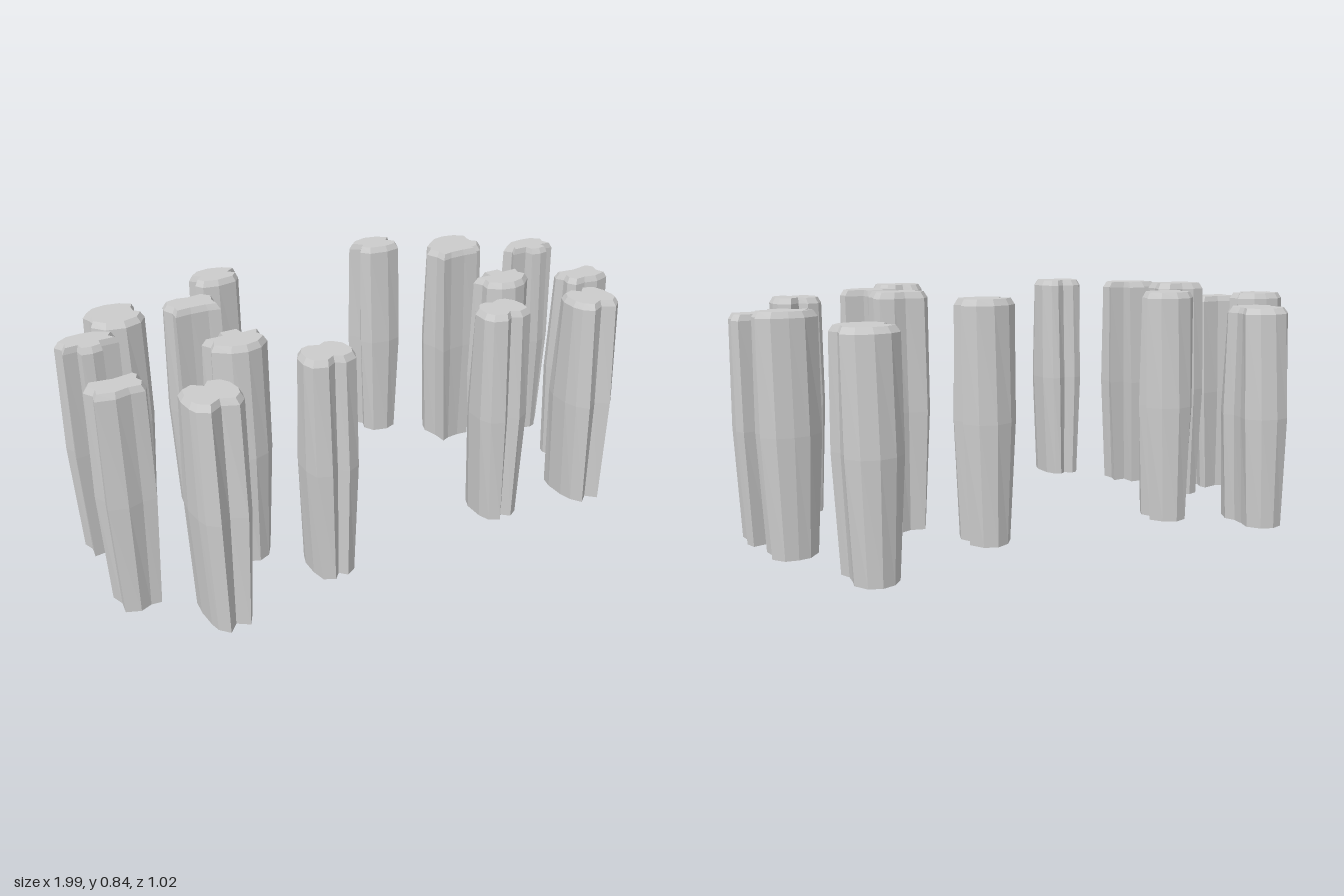
import * as THREE from 'three';

// Rings from bottom to top: height above the base, scale in x, scale in z
const RINGS = [
  [0, 0.77, 1],
  [0.385, 1, 1],
  [0.745, 1, 0.78],
  [0.765, 0.87, 0.66],
];

// Fluted column: the outline (x, z in hundredths) is lofted through the rings
function columnGeometry(outline, base, side) {
  const points = [];
  for (let i = 0; i < outline.length; i += 2) {
    points.push(new THREE.Vector2(side * outline[i] / 100, -outline[i + 1] / 100));
  }
  const centre = new THREE.Box2().setFromPoints(points).getCenter(new THREE.Vector2());
  const geometry = new THREE.ExtrudeGeometry(new THREE.Shape(points), {
    depth: 3, steps: 3, bevelEnabled: false,
  });
  const pos = geometry.attributes.position;
  for (let i = 0; i < pos.count; i++) {
    const [height, sx, sz] = RINGS[Math.round(pos.getZ(i))];
    pos.setXYZ(i,
      centre.x + (pos.getX(i) - centre.x) * sx,
      centre.y + (pos.getY(i) - centre.y) * sz,
      base + height);
  }
  geometry.rotateX(-Math.PI / 2);
  geometry.computeVertexNormals();
  return geometry;
}

export function createModel() {
  const group = new THREE.Group();
  group.name = 'columns';
  const material = new THREE.MeshStandardMaterial({ color: 0xcccccc, flatShading: true });

  // One column on each side, mirrored in x
  function addPair(name, base, outline) {
    for (const side of [1, -1]) {
      const mesh = new THREE.Mesh(columnGeometry(outline, base, side), material);
      mesh.name = (side > 0 ? 'left' : 'right') + name;
      group.add(mesh);
    }
  }

  // Front row: notched front and back
  addPair('FrontOuterColumn', 0.03, [
    65, 30.5, 69, 29, 71.5, 33, 75, 29, 79, 31.5, 80, 37, 79.8, 44,
    79, 47.5, 75.5, 50.8, 71.3, 47.5, 66.5, 50.3, 63.5, 46.5, 62.5, 42, 63, 35]);
  addPair('FrontInnerColumn', 0.065, [
    27.5, 31, 30, 30, 33, 32, 36.5, 30, 39.5, 31, 41.5, 35, 42, 41,
    41, 46, 36.5, 48, 33.3, 45.5, 30.5, 48, 26, 46, 24.5, 42, 25, 35]);

  // Second row: bean-shaped outer, tabbed inner
  addPair('FrontSideColumn', 0, [
    82.5, 7.5, 90, 9, 98, 7.2, 99.7, 11, 98, 15.5, 99, 20.5,
    93, 22.5, 88, 21, 83.5, 21.5, 82, 17.5, 83, 13.5, 81.5, 10]);
  addPair('FrontMiddleColumn', 0.065, [
    48.3, 6.8, 54.7, 6.8, 55, 11, 61.5, 10.8, 60, 15, 61.3, 19,
    56.5, 24.3, 51.5, 26, 46.5, 24.5, 42.7, 20, 43.5, 15.5, 42, 11.5, 48, 12]);

  // Third row: tabbed outer, bean-shaped inner
  addPair('BackSideColumn', 0.03, [
    86, -6.2, 89.5, -5.2, 93, -6, 93.3, -10.2, 98, -9.8, 97, -14.5, 98.5, -18.5,
    94.5, -22.3, 89, -22.8, 84, -22, 79, -17.5, 81, -14, 79.5, -10.5, 85.5, -10.5]);
  addPair('BackMiddleColumn', 0.077, [
    45, -7.3, 49, -8.5, 55, -8.8, 60.5, -8.2, 60, -13, 61.5, -18,
    60.5, -22, 56, -23.3, 52, -22, 46, -23, 43.5, -18.5, 45, -13]);

  // Back row: waisted
  addPair('BackOuterColumn', 0, [
    71.5, -51, 66, -49.5, 62, -45.5, 63.5, -41, 64, -36.5, 62, -33, 65, -27.5,
    71, -25, 77.5, -27, 81, -33, 79, -36.5, 79.5, -41, 80.5, -45, 77, -49.5]);
  addPair('BackInnerColumn', 0.065, [
    24, -42, 27.5, -46, 33, -48, 38.5, -46.5, 42, -42, 39.5, -38.5,
    42, -35, 40.5, -31, 35, -29.5, 28, -31, 25.5, -35, 27.5, -38.5]);

  return group;
}
